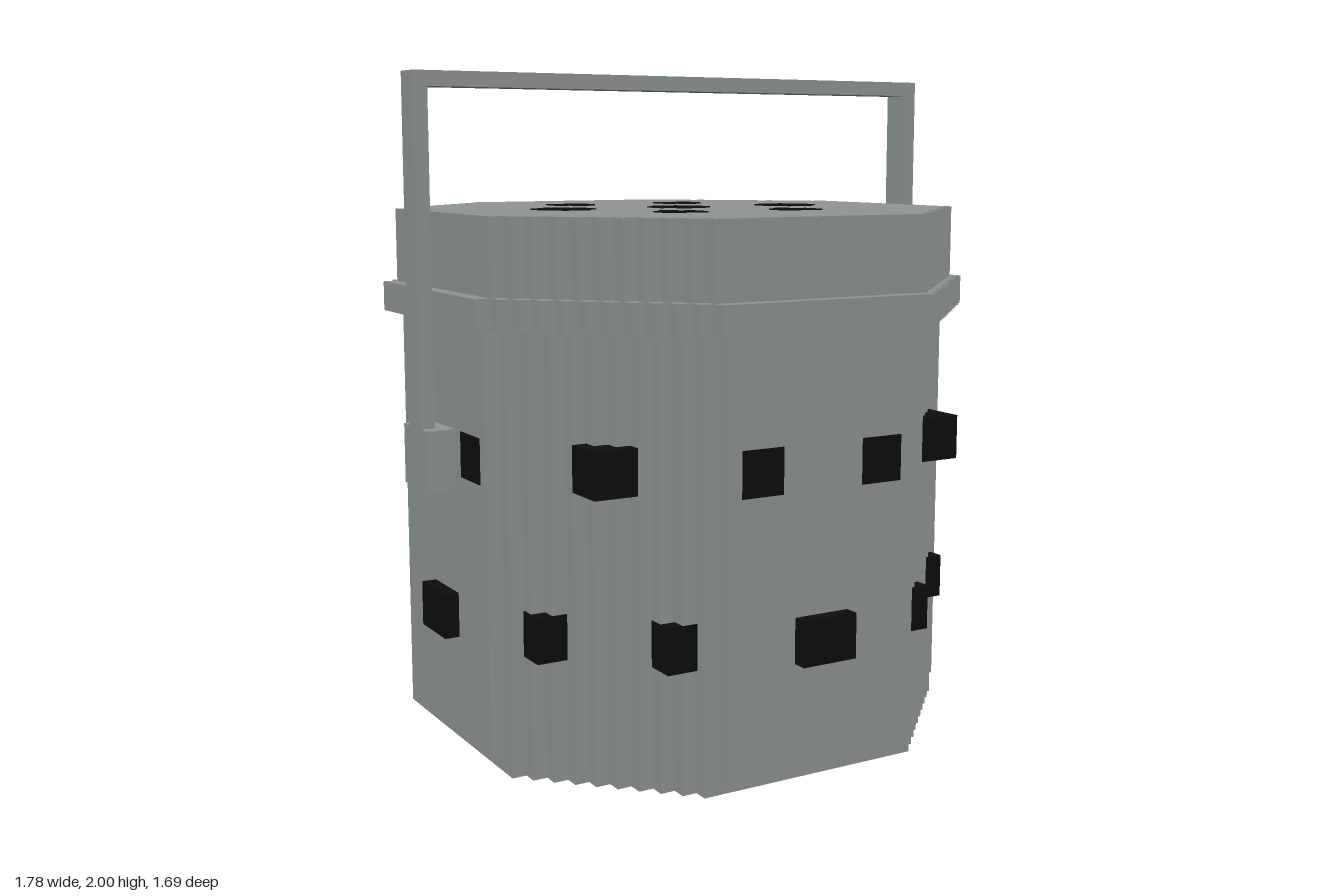
import * as THREE from 'three';

// all measures below are in blocks; the model is 45 blocks tall
const U = 2 / 45;
const THIN = 0.08; // thickness of painted plates, in blocks

export function createModel() {
  const model = new THREE.Group();
  model.name = 'lantern';
  const grey = new THREE.MeshStandardMaterial({ name: 'grey stone', color: 0x8f9695 });
  const black = new THREE.MeshStandardMaterial({ name: 'black dots', color: 0x0d0d0d });

  // box given by its lower and upper corners
  function block(parent, name, mat, x0, y0, z0, x1, y1, z1) {
    const geo = new THREE.BoxGeometry((x1 - x0) * U, (y1 - y0) * U, (z1 - z0) * U);
    const mesh = new THREE.Mesh(geo, mat);
    mesh.position.set((x0 + x1) / 2 * U, (y0 + y1) / 2 * U, (z0 + z1) / 2 * U);
    mesh.name = name;
    parent.add(mesh);
    return mesh;
  }

  // octagonal slab with stair-stepped diagonals
  function steppedOctagon(name, radius, y0, y1) {
    const flat = 8, quarter = [], points = [];
    for (let i = 0; i < radius - flat; i++) {
      quarter.push([radius - i, flat + i], [radius - i - 1, flat + i]);
    }
    quarter.push([flat, radius]);
    for (let q = 0; q < 4; q++) {
      for (const [x, y] of quarter) {
        const [px, py] = [[x, y], [-y, x], [-x, -y], [y, -x]][q];
        points.push(new THREE.Vector2(px * U, py * U));
      }
    }
    const geo = new THREE.ExtrudeGeometry(new THREE.Shape(points), { depth: (y1 - y0) * U, bevelEnabled: false });
    geo.rotateX(-Math.PI / 2);
    const mesh = new THREE.Mesh(geo, grey);
    mesh.position.y = y0 * U;
    mesh.name = name;
    model.add(mesh);
  }

  // body, overhanging rim and lid
  steppedOctagon('body', 17, 0, 29);
  steppedOctagon('rim', 19, 29, 31);
  steppedOctagon('lid', 18, 31, 36);

  // one side and one corner, repeated around the body
  for (let q = 0; q < 4; q++) {
    const side = new THREE.Group();
    side.name = 'side' + (q + 1);
    side.rotation.y = q * Math.PI / 2;
    model.add(side);
    block(side, 'sidePanel', grey, -7, 1, 16.5, 7, 29, 18);
    block(side, 'lowerStud', black, -2, 8, 17.5, 2, 11, 19);
    for (const x of [-6, 3]) {
      block(side, 'upperDot', black, x, 19, 18, x + 3, 22, 18 + THIN);
    }
    block(side, 'upperCornerStud', black, 11, 19, 11, 14, 22, 14);
    block(side, 'lowerCornerStud', black, 14, 8, 8, 16 + THIN, 11, 10 + THIN);
    block(side, 'lowerCornerStud', black, 8, 8, 14, 10 + THIN, 11, 16 + THIN);
  }

  // plus-shaped dots on the lid, made of strips that do not overlap
  function lidDot(cx, cz, halfLong, halfShort) {
    const dot = new THREE.Group();
    dot.name = 'lidDot';
    dot.position.set(cx * U, 0, cz * U);
    model.add(dot);
    block(dot, 'dotBar', black, -halfLong, 36, -halfShort, halfLong, 36 + THIN, halfShort);
    for (const s of [-1, 1]) {
      const a = s * halfShort, b = s * 2 * halfShort;
      return_strip(dot, halfShort, Math.min(a, b), Math.max(a, b));
    }
  }
  function return_strip(dot, half, z0, z1) {
    block(dot, 'dotArm', black, -half, 36, z0, half, 36 + THIN, z1);
  }
  for (const x of [-9, 0, 9]) lidDot(x, 0, 2, 1);
  for (const sx of [-1, 1]) {
    for (const sz of [-1, 1]) {
      const dot = new THREE.Group();
      dot.name = 'lidDot';
      dot.position.set(sx * 4.5 * U, 0, sz * 8 * U);
      model.add(dot);
      block(dot, 'dotBar', black, -1.5, 36, -1, 1.5, 36 + THIN, 1);
      const z = -sz * 1.5;
      block(dot, 'dotTip', black, -0.5, 36, z - 0.5, 0.5, 36 + THIN, z + 0.5);
    }
  }

  // carrying handle
  const handle = new THREE.Group();
  handle.name = 'handle';
  model.add(handle);
  block(handle, 'handleBar', grey, -20, 44, -1, 20, 45, 1);
  for (const s of [-1, 1]) {
    const span = (a, b) => (s > 0 ? [a, b] : [-b, -a]);
    const [p0, p1] = span(19, 20), [f0, f1] = span(18, 20);
    block(handle, 'handlePost', grey, p0, 22, -1, p1, 44, 1);
    block(handle, 'handleFoot', grey, f0, 18, -2, f1, 22, 2);
  }
  return model;
}
